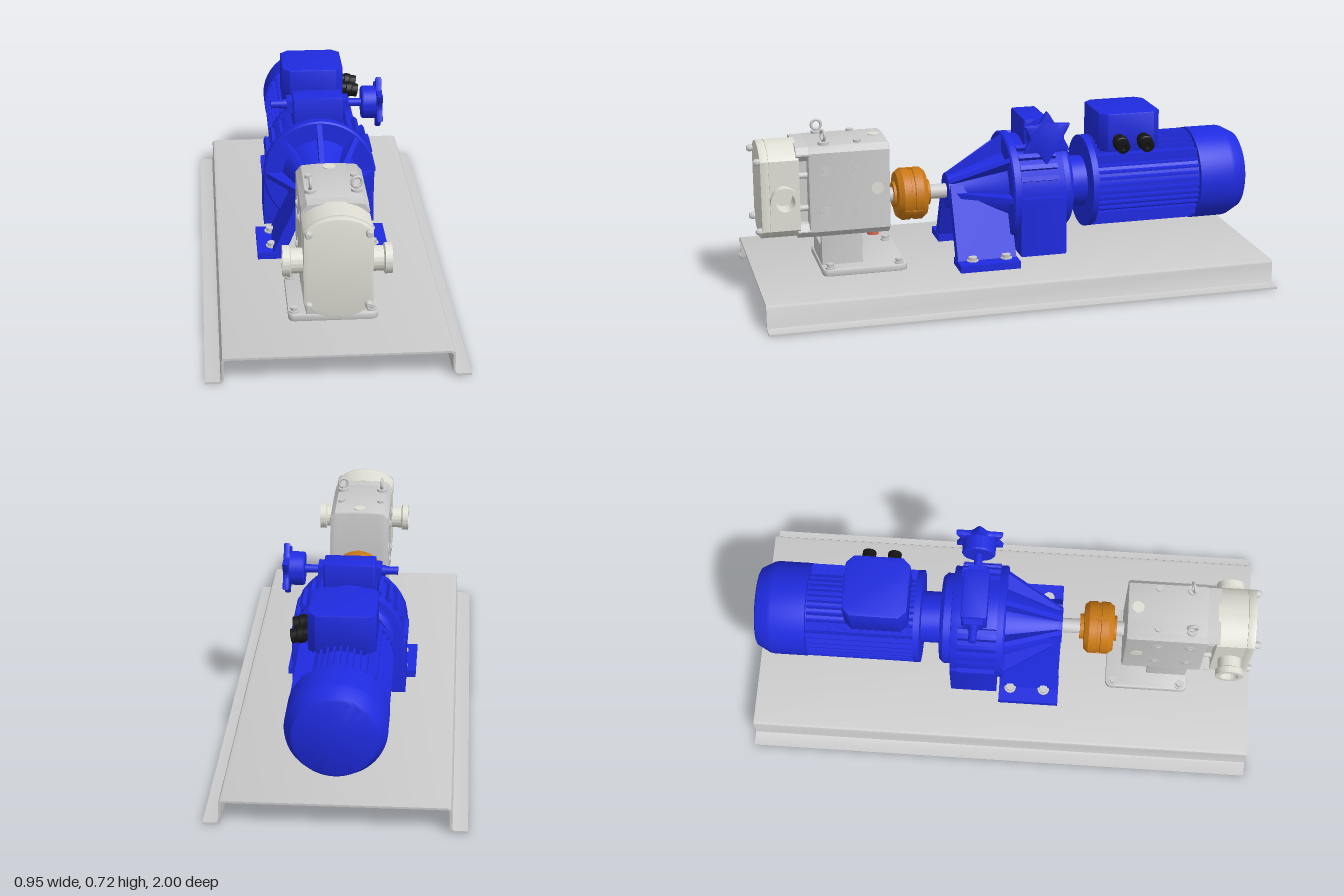
import * as THREE from 'three';
import { toCreasedNormals } from 'three/addons/utils/BufferGeometryUtils.js';

const mat = (color) => new THREE.MeshStandardMaterial({ color });
const GREY = mat(0xcccccc), BLUE = mat(0x1f2be0), ORANGE = mat(0xc87814);
const IVORY = mat(0xe0dfd5), BLACK = mat(0x151515), SALMON = mat(0xd9694f);
const AXIS_Y = 0.36; // drive line height

export function createModel() {
  const root = new THREE.Group();
  root.name = 'pumpUnit';
  const section = (name) => {
    const g = new THREE.Group();
    g.name = name;
    root.add(g);
    return g;
  };
  const add = (parent, name, geo, material, x = 0, y = 0, z = 0) => {
    const m = new THREE.Mesh(geo, material);
    m.name = name;
    m.position.set(x, y, z);
    parent.add(m);
    return m;
  };
  const box = (w, h, d) => new THREE.BoxGeometry(w, h, d);
  const turn = (geo, axis) => {
    if (axis === 'x') geo.rotateZ(-Math.PI / 2);
    if (axis === 'z') geo.rotateX(Math.PI / 2);
    return geo;
  };
  const cyl = (r, h, axis = 'y', sides = 32) => turn(new THREE.CylinderGeometry(r, r, h, sides), axis);
  // Turned profile of [radius, position along axis], position rising
  const lathe = (pts, axis, sides = 56) => turn(toCreasedNormals(
    new THREE.LatheGeometry(pts.map((p) => new THREE.Vector2(...p)), sides), 0.5), axis);
  const poly = (pts) => new THREE.Shape(pts.map((p) => new THREE.Vector2(...p)));
  // Shape in x, y swept from z0 to z1
  const extrude = (shape, z0, z1, bevel = 0) => {
    const g = new THREE.ExtrudeGeometry(shape, {
      depth: z1 - z0 - 2 * bevel, bevelEnabled: bevel > 0, bevelSize: bevel,
      bevelThickness: bevel, bevelOffset: -bevel, bevelSegments: 2, curveSegments: 16,
    }).translate(0, 0, z0 + bevel);
    return toCreasedNormals(g, 0.5);
  };
  const hex = (parent, name, x, y, z, r, h, axis, material = GREY) => add(parent, name, cyl(r, h, axis, 6), material, x, y, z);

  // Folded base plate
  const base = section('basePlate');
  const half = [[0.4, 0.1], [0.412, 0.096], [0.416, 0.088], [0.416, 0.02], [0.42, 0.011], [0.428, 0.008],
    [0.475, 0.008], [0.475, 0], [0.424, 0], [0.412, 0.005], [0.408, 0.016], [0.408, 0.084], [0.404, 0.09], [0.398, 0.092]];
  const mirrored = half.map(([x, y]) => [-x, y]).reverse();
  add(base, 'foldedSheet', extrude(poly([...half, ...mirrored]), -1, 1), GREY);

  // Pump pedestal
  const foot = section('pumpPedestal');
  const corner = (w, d, r) => {
    const s = new THREE.Shape();
    s.absarc(w - r, d - r, r, 0, Math.PI / 2);
    s.absarc(r - w, d - r, r, Math.PI / 2, Math.PI);
    s.absarc(r - w, r - d, r, Math.PI, Math.PI * 1.5);
    s.absarc(w - r, r - d, r, Math.PI * 1.5, Math.PI * 2);
    return s;
  };
  add(foot, 'footPlate', extrude(corner(0.165, 0.165, 0.025), 0, 0.027, 0.004).rotateX(-Math.PI / 2), GREY, 0, 0.1, 0.58);
  add(foot, 'pedestalBlock', extrude(poly([[-0.1, 0.12], [0.1, 0.12], [0.1, 0.25], [0.068, 0.25],
    [0.068, 0.2], [-0.068, 0.2], [-0.068, 0.25], [-0.1, 0.25]]), 0.58, 0.74, 0.004), GREY);
  for (const x of [-0.143, 0.143]) for (const z of [0.445, 0.715]) {
    add(foot, 'washer', cyl(0.019, 0.006), GREY, x, 0.13, z);
    hex(foot, 'footBolt', x, 0.139, z, 0.014, 0.014, 'y');
  }

  // Pump gearbox with side windows behind the head
  const pump = section('pump');
  const outline = (w, lo, hi) => {
    const s = poly([[-w, lo + 0.03], [-w + 0.02, lo + 0.006]]);
    s.quadraticCurveTo(0, lo - 0.006, w - 0.02, lo + 0.006);
    s.lineTo(w, lo + 0.03);
    s.lineTo(w, hi - 0.03);
    s.lineTo(w - 0.02, hi - 0.006);
    s.quadraticCurveTo(0, hi + 0.006, 0.02 - w, hi - 0.006);
    s.lineTo(-w, hi - 0.03);
    return s;
  };
  add(pump, 'gearbox', extrude(outline(0.122, 0.24, 0.612), 0.47, 0.785, 0.008), GREY);
  add(pump, 'bridgeCore', box(0.15, 0.3, 0.06), GREY, 0, 0.425, 0.805);
  add(pump, 'bridgeTop', extrude(outline(0.121, 0.545, 0.611), 0.775, 0.83), GREY);
  add(pump, 'bridgeBottom', extrude(outline(0.121, 0.241, 0.305), 0.775, 0.83), GREY);
  for (const y of [0.36, 0.49]) for (const x of [-0.085, 0.085]) add(pump, 'bridgeStud', cyl(0.012, 0.05, 'z'), GREY, x, y, 0.805);

  // Pump head and front cover
  const head = new THREE.Shape();
  head.moveTo(-0.122, 0.285);
  head.lineTo(-0.122, 0.562);
  head.bezierCurveTo(-0.095, 0.595, -0.05, 0.614, 0, 0.614);
  head.bezierCurveTo(0.05, 0.614, 0.095, 0.595, 0.122, 0.562);
  head.lineTo(0.122, 0.285);
  head.bezierCurveTo(0.095, 0.252, 0.05, 0.233, 0, 0.233);
  head.bezierCurveTo(-0.05, 0.233, -0.095, 0.252, -0.122, 0.285);
  add(pump, 'pumpHead', extrude(head, 0.82, 0.935), IVORY);
  add(pump, 'frontCover', extrude(head, 0.935, 0.968, 0.004), IVORY);
  const port = lathe([[0.045, 0.1], [0.045, 0.163], [0.055, 0.168], [0.055, 0.193], [0.037, 0.193], [0.034, 0.12], [0, 0.12]], 'x');
  for (const s of [-1, 1]) {
    add(pump, s > 0 ? 'leftPort' : 'rightPort', port, IVORY, 0, 0.42, 0.885).rotation.y = s > 0 ? 0 : Math.PI;
    for (const y of [0.285, 0.56]) add(pump, 'coverNut', lathe([[0.014, 0], [0.014, 0.015], [0.009, 0.024], [0, 0.026]], 'z', 12), GREY, s * 0.106, y, 0.966);
    // Side screws and plugs
    for (const z of [0.595, 0.72]) for (const y of [0.345, 0.51]) {
      add(pump, 'sideWasher', cyl(0.023, 0.004, 'x'), GREY, s * 0.122, y, z);
      hex(pump, 'sideScrew', s * 0.125, y, z, 0.013, 0.008, 'x');
    }
    add(pump, 'sidePlug', cyl(0.024, 0.006, 'x'), IVORY, s * 0.121, 0.43, 0.52);
    // Lifting eyes and top screws
    add(pump, 'eyeBase', cyl(0.021, 0.012), GREY, s * 0.083, 0.612, 0.72);
    add(pump, 'eyeNeck', cyl(0.008, 0.02), GREY, s * 0.083, 0.617, 0.72);
    add(pump, 'liftingEye', new THREE.TorusGeometry(0.019, 0.0055, 10, 28), GREY, s * 0.083, 0.642, 0.72).rotation.y = s > 0 ? 0.25 : Math.PI / 2;
    hex(pump, 'topScrew', s * 0.083, 0.612, 0.59, 0.014, 0.012, 'y');
  }
  add(pump, 'topPlug', cyl(0.024, 0.006), IVORY, 0, 0.612, 0.51);
  add(pump, 'drainPlug', cyl(0.024, 0.035), SALMON, 0, 0.224, 0.52);

  // Shaft and coupling
  const drive = section('coupling');
  add(drive, 'shaft', cyl(0.029, 0.28, 'z'), GREY, 0, AXIS_Y, 0.35);
  add(drive, 'couplingBody', lathe([[0, 0.295], [0.05, 0.295], [0.05, 0.31], [0.088, 0.312], [0.103, 0.33], [0.103, 0.362],
    [0.099, 0.364], [0.099, 0.376], [0.103, 0.378], [0.103, 0.408], [0.088, 0.428], [0.05, 0.43], [0.05, 0.44], [0, 0.44]], 'z'), ORANGE, 0, AXIS_Y);
  for (let i = 0; i < 3; i++) {
    const a = i * Math.PI * 2 / 3 + Math.PI / 2;
    add(drive, 'couplingKey', box(0.014, 0.014, 0.07), ORANGE, Math.cos(a) * 0.098, AXIS_Y + Math.sin(a) * 0.098, 0.37).rotation.z = a;
  }

  // Bearing housing: cone, ribs, legs and feet
  const bearing = section('bearingHousing');
  add(bearing, 'cone', lathe([[0.15, -0.01], [0.07, 0.2], [0.07, 0.225], [0.03, 0.225], [0, 0.225]], 'z'), BLUE, 0, AXIS_Y);
  const rib = extrude(poly([[0.225, 0], [0.225, 0.07], [0, 0.213], [-0.005, 0]]), -0.01, 0.01).rotateY(-Math.PI / 2);
  for (let i = -2; i <= 2; i++) add(bearing, 'rib', rib, BLUE, 0, AXIS_Y).rotation.z = i * Math.PI / 4;
  const ribCap = poly([[0.04, 0.38], [0.155, 0.11], [0.205, 0.11], [0.072, 0.4]]);
  for (const s of [-1, 1]) {
    const leg = add(bearing, 'leg', extrude(ribCap, -0.012, 0.222), BLUE);
    if (s < 0) leg.geometry.rotateY(Math.PI).translate(0, 0, 0.21);
    add(bearing, 'footPad', box(0.118, 0.028, 0.24), BLUE, s * 0.198, 0.114, 0.105);
    for (const z of [0.03, 0.165]) {
      add(bearing, 'washer', cyl(0.023, 0.005), GREY, s * 0.2, 0.13, z);
      hex(bearing, 'footBolt', s * 0.2, 0.138, z, 0.018, 0.014, 'y');
      add(bearing, 'boltShank', cyl(0.012, 0.05), GREY, s * 0.2, 0.088, z);
    }
  }

  // Variable-speed gear case
  const gear = section('gearCase');
  add(gear, 'frontDisc', lathe([[0, -0.03], [0.222, -0.03], [0.222, -0.004], [0.216, 0.002], [0, 0.002]], 'z', 72), BLUE, 0, AXIS_Y);
  const arch = poly([[-0.222, 0.133], [0.222, 0.133], [0.222, AXIS_Y]]);
  arch.absarc(0, AXIS_Y, 0.21, 0, Math.PI);
  arch.lineTo(-0.222, AXIS_Y);
  add(gear, 'caseBody', extrude(arch, -0.21, -0.025, 0.004), BLUE);
  for (const deg of [0, 22, 34, 46, 58, 122, 134, 146, 158, 180]) {
    const a = deg * Math.PI / 180;
    add(gear, 'caseRib', box(0.03, 0.018, 0.15), BLUE, Math.cos(a) * 0.213, AXIS_Y + Math.sin(a) * 0.213, -0.105).rotation.z = a;
  }
  add(gear, 'rearNeck', lathe([[0, -0.34], [0.102, -0.34], [0.102, -0.255], [0.165, -0.255], [0.18, -0.24], [0.18, -0.2], [0, -0.2]], 'z'), BLUE, 0, AXIS_Y);

  // Speed control box and handwheel
  const control = section('speedControl');
  add(control, 'controlBox', extrude(corner(0.1, 0.05, 0.008), 0, 0.13, 0.006).rotateX(-Math.PI / 2), BLUE, 0, 0.525, -0.118);
  add(control, 'controlBase', box(0.245, 0.048, 0.075), BLUE, 0, 0.615, -0.118);
  add(control, 'spindle', cyl(0.016, 0.37, 'x'), BLUE, 0, 0.616, -0.118);
  add(control, 'spindleSleeve', cyl(0.02, 0.04, 'x'), BLUE, -0.118, 0.616, -0.118);
  add(control, 'indicatorDrum', lathe([[0, 0.174], [0.06, 0.174], [0.065, 0.18], [0.065, 0.236], [0, 0.236]], 'x'), BLUE, 0, 0.616, -0.118);
  const star = [];
  for (let i = 0; i < 60; i++) {
    const a = i * Math.PI / 30, r = 0.067 + 0.038 * (1 - Math.abs(Math.sin(3 * a)));
    star.push([-Math.sin(a) * r, Math.cos(a) * r]);
  }
  add(control, 'handwheel', extrude(poly(star), 0.231, 0.255, 0.005).rotateY(Math.PI / 2), BLUE, 0, 0.616, -0.118);

  // Finned motor
  const motor = section('motor');
  add(motor, 'motorFlange', lathe([[0, -0.357], [0.184, -0.357], [0.184, -0.332], [0, -0.332]], 'z'), BLUE, 0, AXIS_Y);
  add(motor, 'motorBarrel', cyl(0.16, 0.45, 'z', 56), BLUE, 0, AXIS_Y, -0.57);
  for (let i = -5; i <= 5; i++) {
    const d = i * 0.024, len = 2 * Math.sqrt(0.182 ** 2 - d * d);
    add(motor, 'sideFin', box(len, 0.007, 0.42), BLUE, 0, AXIS_Y + d, -0.567);
    add(motor, 'uprightFin', box(0.007, len, 0.42), BLUE, d, AXIS_Y, -0.567);
  }
  for (const x of [-1, 1]) for (const y of [-1, 1]) add(motor, 'cornerLug', box(0.035, 0.035, 0.42), BLUE, x * 0.118, AXIS_Y + y * 0.118, -0.567);
  add(motor, 'fanCover', lathe([[0, -0.985], [0.145, -0.985], [0.155, -0.98], [0.182, -0.93], [0.185, -0.915], [0.185, -0.782], [0, -0.782]], 'z'), BLUE, 0, AXIS_Y);

  // Terminal box and cable glands
  const lid = poly([[-0.125, -0.095], [-0.095, -0.125], [0.095, -0.125], [0.125, -0.095],
    [0.125, 0.095], [0.095, 0.125], [-0.095, 0.125], [-0.125, 0.095]]);
  add(motor, 'terminalBox', extrude(lid, 0, 0.155, 0.005).rotateX(-Math.PI / 2), BLUE, 0, 0.505, -0.5);
  const gland = lathe([[0, 0], [0.026, 0], [0.026, 0.02], [0.031, 0.022], [0.031, 0.042], [0.027, 0.046], [0.027, 0.07], [0.014, 0.072], [0, 0.066]], 'x', 16);
  for (const z of [-0.45, -0.55]) add(motor, 'cableGland', gland, BLACK, 0.12, 0.552, z).rotation.z = -0.2;

  return root;
}
